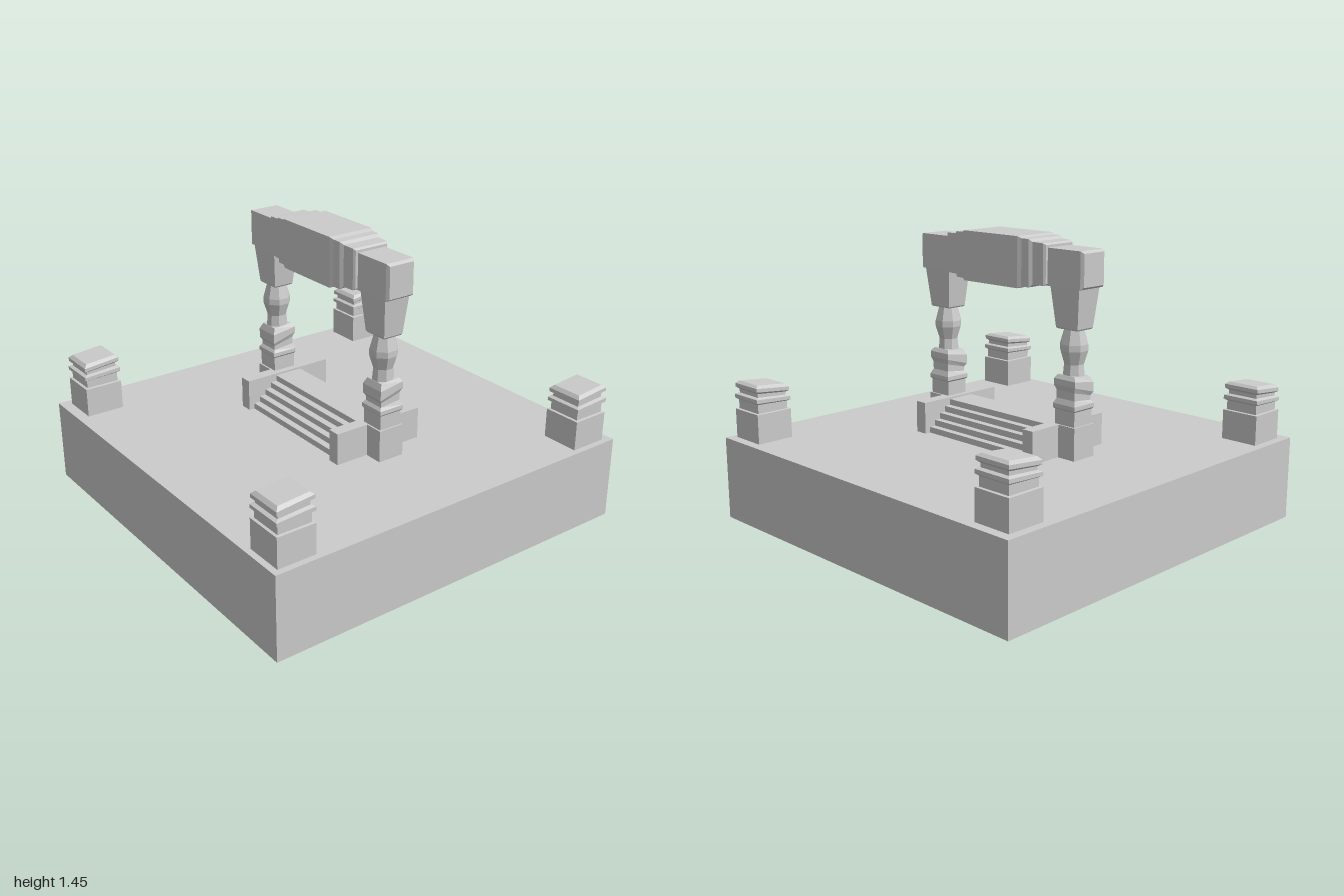
import * as THREE from 'three';

const mat = new THREE.MeshStandardMaterial({ color: 0xcccccc, flatShading: true });

function mesh(name, geometry, x = 0, y = 0, z = 0) {
  const m = new THREE.Mesh(geometry, mat);
  m.name = name;
  m.position.set(x, y, z);
  return m;
}

// Box given by its size and the height of its underside
function block(name, w, h, d, x, y, z) {
  return mesh(name, new THREE.BoxGeometry(w, h, d), x, y + h / 2, z);
}

// Profile of [half width, height, slope]; slope tips that ring up towards -z
function turned(profile, sides) {
  const pts = [[0, profile[0][1], profile[0][2]], ...profile,
    [0, profile.at(-1)[1], profile.at(-1)[2]]];
  const k = 1 / Math.cos(Math.PI / sides);
  const g = new THREE.LatheGeometry(
    pts.map(([r, y]) => new THREE.Vector2(r * k, y)), sides, Math.PI / sides);
  const p = g.attributes.position;
  for (let i = 0; i < p.count; i++) {
    const slope = pts[i % pts.length][2] || 0;
    p.setY(i, p.getY(i) - slope * p.getZ(i));
  }
  const flat = g.toNonIndexed();
  flat.computeVertexNormals();
  return flat;
}

// Square post with moulded, slightly tipped cap
function cornerPost(x, z) {
  return mesh('cornerPost', turned([
    [0.097, 0.42], [0.097, 0.568], [0.084, 0.57], [0.084, 0.612, 0.04],
    [0.097, 0.62, 0.05], [0.097, 0.638, 0.06], [0.08, 0.645, 0.07],
    [0.08, 0.662, 0.09], [0.094, 0.672, 0.1], [0.094, 0.69, 0.1], [0.078, 0.704, 0.09],
  ], 4), x, 0, z);
}

// One upright: plinth, square mouldings, baluster and flared capital
function upright(side) {
  const g = new THREE.Group();
  g.name = side > 0 ? 'leftUpright' : 'rightUpright';
  g.position.x = side * 0.435;
  g.add(block('plinth', 0.14, 0.16, 0.14, 0, 0.42, 0));
  g.add(mesh('lowerMoulding', turned([
    [0.061, 0.57], [0.061, 0.652], [0.068, 0.66], [0.068, 0.68], [0.056, 0.7, 0.1],
    [0.056, 0.73, 0.25], [0.066, 0.752, 0.28], [0.066, 0.79, 0.15], [0.052, 0.815, 0.08],
  ], 4)));
  g.add(mesh('baluster', turned([
    [0.051, 0.8], [0.045, 0.87], [0.064, 0.935], [0.064, 0.965], [0.043, 1.045],
  ], 8)));
  const capital = mesh('capital', turned([
    [0.062, 1.035], [0.067, 1.042], [0.09, 1.25],
  ], 4));
  capital.scale.z = 0.8;
  g.add(capital);
  return g;
}

export function createModel() {
  const model = new THREE.Group();
  model.name = 'gateOnPlatform';

  model.add(block('platform', 2, 0.42, 2, 0, 0, 0));

  for (const [x, z] of [[-0.86, -0.855], [0.872, -0.855], [-0.86, 0.848], [0.872, 0.872]])
    model.add(cornerPost(x, z));

  // Stepped threshold between two cheek boards
  const steps = new THREE.Group();
  steps.name = 'steps';
  for (let i = 0; i < 5; i++)
    steps.add(block('step', 0.7, 0.03, 2 * (0.215 - 0.035 * i), 0, 0.42 + 0.03 * i, 0));
  for (const x of [-0.372, 0.378])
    steps.add(block('cheekBoard', 0.064, 0.16, 0.49, x, 0.42, 0));
  model.add(steps);

  for (const side of [-1, 1]) {
    model.add(upright(side));
    // End block of the crossbeam, with bevelled outer face
    const end = mesh('beamEnd', turned([
      [0.088, 0.32], [0.088, 0.535], [0.077, 0.55],
    ], 4), 0, 1.32, 0);
    end.rotation.z = -side * Math.PI / 2;
    end.scale.z = 0.88;
    model.add(end);
  }

  // Crossbeam swelling in steps towards the middle
  const half = [[0.09, 0.335], [0.098, 0.325], [0.1, 0.26], [0.112, 0.245],
    [0.113, 0.2], [0.122, 0.18]];
  const beam = mesh('crossbeam', turned([
    ...half.map(([r, y]) => [r, -y]), ...half.toReversed(),
  ], 4), 0, 1.33, 0);
  beam.rotation.z = -Math.PI / 2;
  model.add(beam);

  return model;
}
